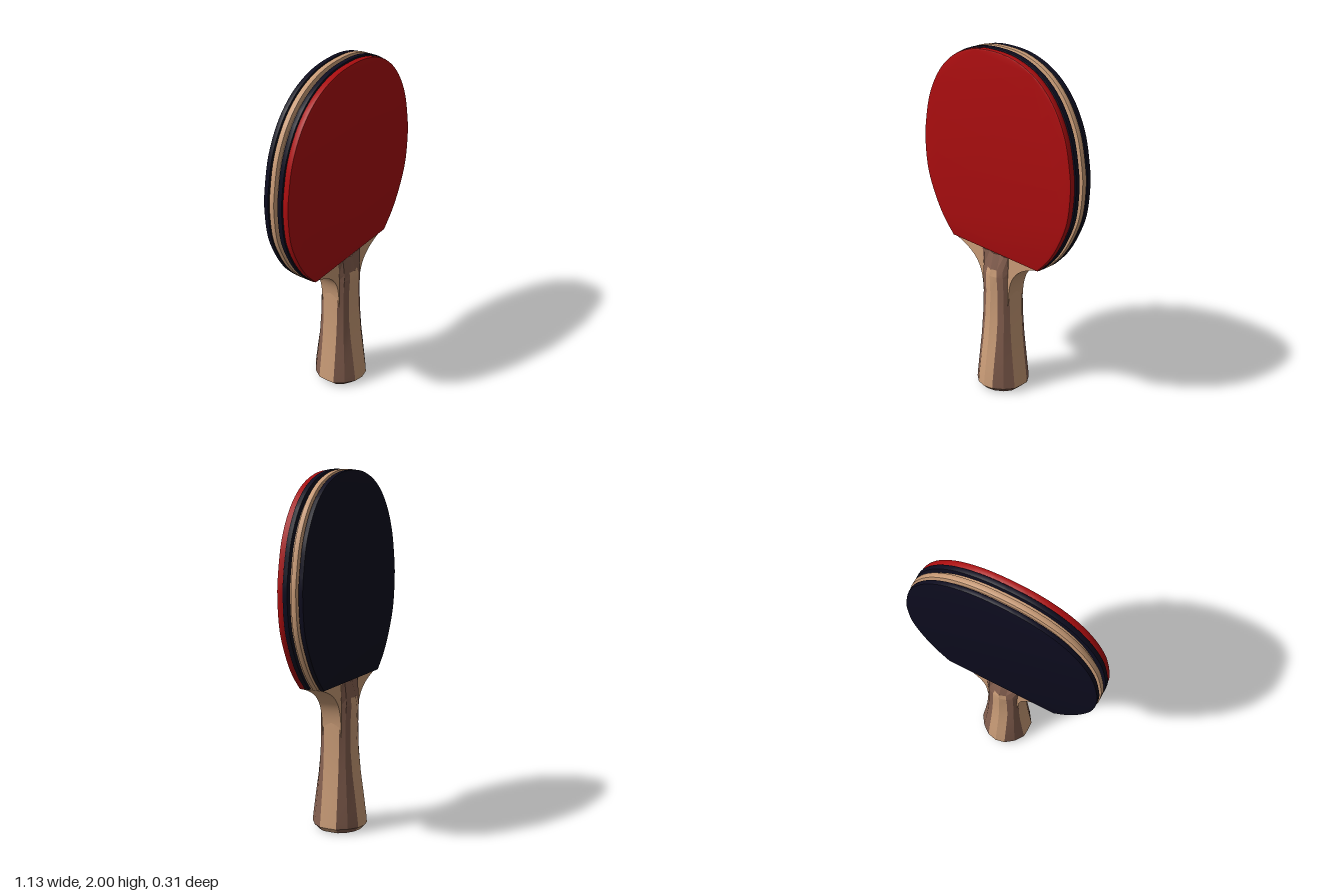
import * as THREE from 'three';
import { toCreasedNormals } from 'three/addons/utils/BufferGeometryUtils.js';

const flat = (name, color) => Object.assign(new THREE.MeshStandardMaterial({ color }), { name });

// Half outline of the blade, from the top centre down to the neck
const RIM = [[0, 2], [0.16, 1.983], [0.31, 1.92], [0.43, 1.81], [0.515, 1.655], [0.555, 1.48], [0.563, 1.36],
  [0.545, 1.2], [0.49, 1.06], [0.42, 0.945], [0.335, 0.853]];

// Mirrored blade outline, shrunk by an inset, with a straight lower edge
function bladeShape(inset) {
  const c = 1.4, sx = 1 - inset / 0.563, sy = 1 - inset / 0.6;
  const full = [...RIM.slice(1).reverse().map(([x, y]) => [-x, y]), ...RIM];
  const curve = new THREE.SplineCurve(full.map(([x, y]) =>
    new THREE.Vector2(x * sx, y > c ? c + (y - c) * sy : y)));
  return new THREE.Shape(curve.getPoints(120).reverse());
}

// Flat layer between two depths with a softened rim
function slab(shape, z0, z1, bevel) {
  const geo = new THREE.ExtrudeGeometry(shape, {
    depth: z1 - z0 - 2 * bevel, curveSegments: 24, bevelEnabled: bevel > 0,
    bevelThickness: bevel, bevelSize: bevel, bevelOffset: -bevel, bevelSegments: 2,
  });
  geo.translate(0, 0, z0 + bevel);
  return toCreasedNormals(geo, 0.6);
}

// Handle sections: height, half width, half depth, front facet half width, side facet half depth
const SECTIONS = [
  [0, 0.115, 0.125, 0.045, 0.045], [0.03, 0.146, 0.155, 0.056, 0.05], [0.06, 0.143, 0.153, 0.056, 0.05],
  [0.2, 0.126, 0.135, 0.054, 0.048], [0.32, 0.113, 0.118, 0.052, 0.047], [0.45, 0.104, 0.105, 0.05, 0.047],
  [0.6, 0.1, 0.1, 0.046, 0.048], [0.72, 0.1, 0.105, 0.042, 0.052], [0.76, 0.1, 0.098, 0.036, 0.056],
  [0.85, 0.1, 0.075, 0.04, 0.063],
];

// Sixteen points around one section, starting at the front ridge
function ring([y, w, d, a, b]) {
  const s = d - 0.012;
  const q = [[0, d], [a, s], [(a + w) / 2 + 0.007, (s + b) / 2 + 0.007], [w, b], [w + 0.002, 0]];
  const half = [...q, ...q.slice(0, 4).reverse().map(([x, z]) => [x, -z])];
  const all = [...half, ...half.slice(1, 8).reverse().map(([x, z]) => [-x, z])];
  return all.map(([x, z]) => [x, y, z]);
}

// Handle facets of one tone: pale front, back and sides, dark diagonals and upper ramps
function handleGeometry(dark) {
  const pos = [], rings = SECTIONS.map(ring), last = rings.length - 2;
  for (let k = 0; k <= last; k++) {
    for (let i = 0; i < 16; i++) {
      const face = i % 8, j = (i + 1) % 16;
      const ramp = k === last && (face === 0 || face === 7);
      const isDark = ramp || [1, 2, 5, 6].includes(face);
      if (isDark !== dark) continue;
      const [a, b, c, d] = [rings[k][i], rings[k][j], rings[k + 1][j], rings[k + 1][i]];
      pos.push(...a, ...b, ...c, ...a, ...c, ...d);
    }
  }
  if (!dark) { // butt end
    for (let i = 0; i < 16; i++) pos.push(0, 0, 0, ...rings[0][(i + 1) % 16], ...rings[0][i]);
  } else { // closed top
    const top = rings[last + 1];
    for (let i = 0; i < 16; i++) pos.push(0, 0.85, 0, ...top[i], ...top[(i + 1) % 16]);
  }
  const geo = new THREE.BufferGeometry();
  geo.setAttribute('position', new THREE.Float32BufferAttribute(pos, 3));
  return toCreasedNormals(geo, 0.22);
}

// Flared wooden neck joining handle and blade
function neckShape() {
  const s = new THREE.Shape();
  s.moveTo(-0.09, 0.5);
  s.lineTo(0.09, 0.5);
  s.lineTo(0.1, 0.6);
  s.bezierCurveTo(0.108, 0.74, 0.16, 0.805, 0.335, 0.853);
  s.lineTo(-0.335, 0.853);
  s.bezierCurveTo(-0.16, 0.805, -0.108, 0.74, -0.1, 0.6);
  s.closePath();
  return s;
}

export function createModel() {
  const paleWood = flat('paleWood', 0xcb9d78);
  const darkWood = flat('darkWood', 0x845f4f);
  const red = flat('redRubber', 0xab0d0f);
  const navy = flat('navyRubber', 0x0d0c1f);

  const model = new THREE.Group();
  model.name = 'tableTennisBat';
  const add = (name, geo, mat) => {
    const mesh = new THREE.Mesh(geo, mat);
    mesh.name = name;
    model.add(mesh);
  };

  // Blade: recessed core with a wider middle ply
  add('bladeCore', slab(bladeShape(0.03), -0.054, 0.014, 0), paleWood);
  add('bladePly', slab(bladeShape(0), -0.04, -0.011, 0.003), paleWood);

  // Playing surfaces
  add('frontSponge', slab(bladeShape(0), 0.01, 0.038, 0.004), navy);
  add('frontRubber', slab(bladeShape(0.006), 0.038, 0.074, 0.008), red);
  add('backRubber', slab(bladeShape(0.004), -0.078, -0.051, 0.005), navy);

  // Neck and grip
  add('neck', slab(neckShape(), -0.058, 0.058, 0), paleWood);
  add('handlePaleFacets', handleGeometry(false), paleWood);
  add('handleDarkFacets', handleGeometry(true), darkWood);
  return model;
}
